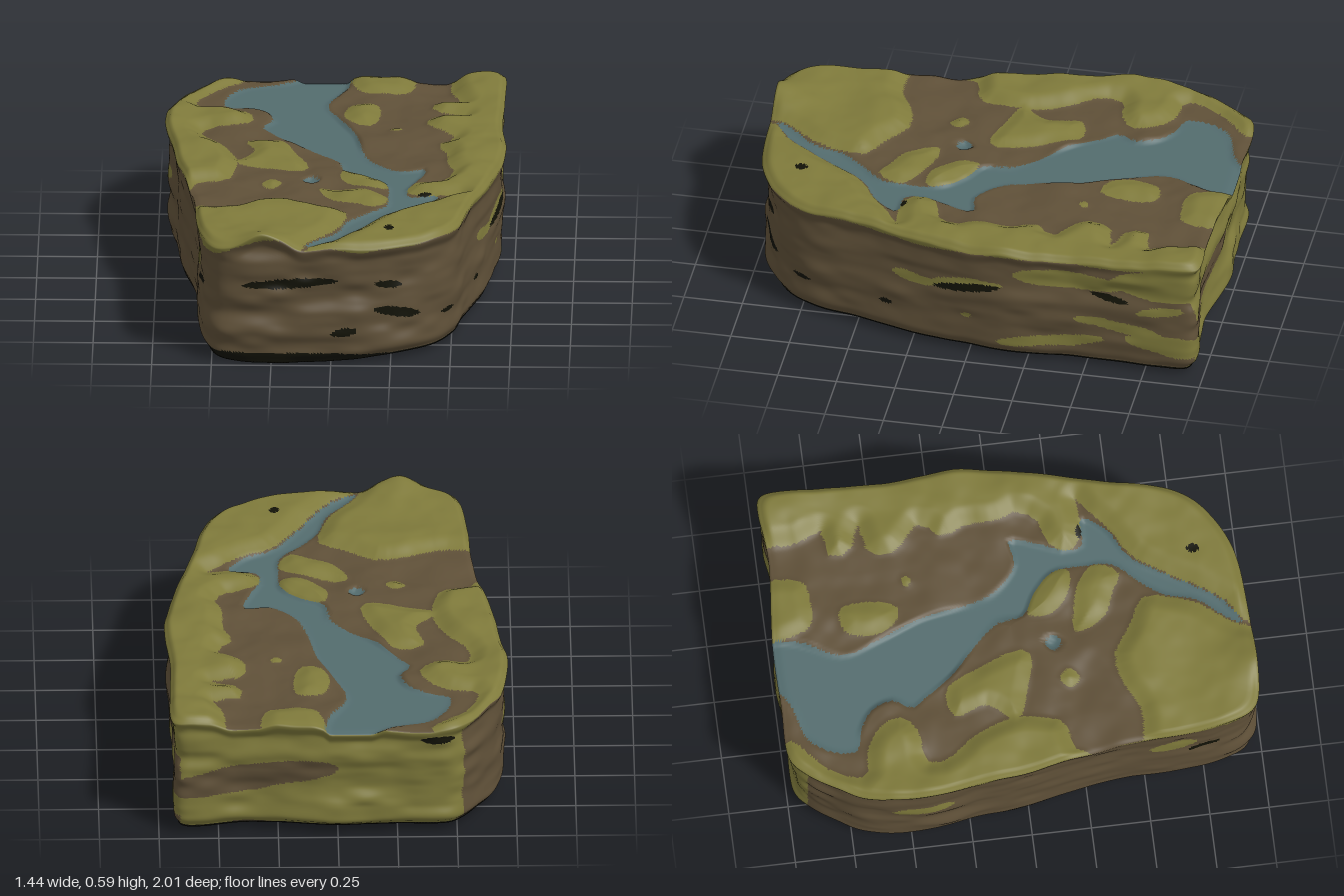
import * as THREE from 'three';

const AROUND = 470, TOP_ROWS = 80, SIDE_ROWS = 62;
const smooth = THREE.MathUtils.smoothstep;

// Closed smooth outline from x, z pairs in hundredths
function outline(pairs, count = pairs.length * 2) {
  const pts = [];
  for (let i = 0; i < pairs.length; i += 2) pts.push(new THREE.Vector3(pairs[i] / 100, 0, pairs[i + 1] / 100));
  return new THREE.CatmullRomCurve3(pts, true, 'centripetal').getSpacedPoints(count).slice(0, count);
}
const disc = (x, z, rx, rz = rx) => outline([x - rx, z, x, z + rz, x + rx, z, x, z - rz], 16);

// Signed distance to an outline, positive inside
function depth(poly, x, z) {
  let best = 1e9, inside = false;
  for (let i = 0, j = poly.length - 1; i < poly.length; j = i++) {
    const a = poly[j], b = poly[i], ex = b.x - a.x, ez = b.z - a.z;
    const t = Math.min(1, Math.max(0, ((x - a.x) * ex + (z - a.z) * ez) / (ex * ex + ez * ez || 1)));
    best = Math.min(best, (x - a.x - ex * t) ** 2 + (z - a.z - ez * t) ** 2);
    if ((a.z > z) !== (b.z > z) && x < a.x + (ex * (z - a.z)) / ez) inside = !inside;
  }
  return Math.sqrt(best) * (inside ? 1 : -1);
}
const deepest = (polys, x, z) => Math.max(...polys.map((p) => depth(p, x, z)));

// Smooth repeatable 3D value noise, 0 to 1
function hash(x, y, z) {
  const s = Math.sin(x * 127.1 + y * 311.7 + z * 74.7) * 43758.5453;
  return s - Math.floor(s);
}
function noise(x, y, z) {
  const X = Math.floor(x), Y = Math.floor(y), Z = Math.floor(z);
  const f = [x - X, y - Y, z - Z].map((t) => t * t * (3 - 2 * t));
  let sum = 0;
  for (let i = 0; i < 8; i++) {
    const a = i & 1, b = (i >> 1) & 1, c = i >> 2;
    sum += hash(X + a, Y + b, Z + c) * (a ? f[0] : 1 - f[0]) * (b ? f[1] : 1 - f[1]) * (c ? f[2] : 1 - f[2]);
  }
  return sum;
}

// Plan shape of the slab, counter-clockwise from above
const rim = outline([-48, -99, -55, -93, -63, -81, -69, -69, -72, -45, -69, -24, -66, 0, -61, 24, -58, 45, -57, 66,
  -54, 87, -50, 96, -44, 99.5, -2, 99.7, 24, 96.5, 43, 86, 52, 74, 59, 45, 66, 19, 71.5, -13, 69.5, -45, 70, -71,
  69.5, -96, 67, -98.5, 61, -99, 43, -97, 4, -100, -23, -99.7], AROUND);

// Water: the winding river and a small pond
const river = outline([-23, -96, -12, -103, 4, -103, 4, -90, -4, -71, 1, -55, 8, -37, 12, -16, 16, -5, 27, 5, 38, 4,
  35, 16, 31, 26, 32, 34, 44, 35, 38, 45, 25, 53, 16, 66, 8, 79, 0, 90, -11, 97, -7, 90, 2, 79, 6, 66, 14, 55,
  22, 46, 23, 34, 22, 21, 14, 12, 4, 6, 2, -5, -7, -16, -18, -26, -27, -39, -31, -45, -27, -53, -30, -62, -39, -68,
  -47, -70, -47, -79, -40, -90]);
const water = [river, disc(-9.5, 17, 3.5)];

// Grass: raised banks and lower mounds
const leftBank = outline([-80, -104, -45, -104, -39, -98, -47, -90, -55, -82, -59, -68, -47, -66, -37, -58, -35, -50,
  -42, -44, -55, -42, -56, -34, -47, -21, -41, -5, -42, 8, -45, 17, -58, 21, -61, 29, -80, 30]);
const frontBank = outline([-80, 46, -58, 49, -44, 50, -29, 43, -18, 42, -7, 49, 6, 57, 5, 66, 0.5, 79, -8, 90, -12, 97,
  -13, 108, -80, 108]);
const rightBank = outline([-11, 108, -10, 98, 0, 91, 8, 80, 16, 67, 25, 54, 38, 46, 46, 39, 53, 34, 42, 35, 34, 33,
  30, 28, 35, 20, 45, 17, 50, 9, 47, 0, 47, -13, 43, -24, 50, -32, 38, -45, 40, -55, 53, -58, 41, -63, 40, -71,
  52, -74, 48, -82, 47, -95, 46, -106, 90, -106, 90, 108]);
const banks = [leftBank, frontBank, rightBank];
const mounds = [
  outline([5, -104, 30, -104, 30, -84, 22, -82, 10, -83, 6, -92]),
  outline([6, -69, 16, -70, 18, -58, 14, -46, 7, -48, 3, -57]),
  outline([-37, -28, -25, -30, -18, -18, -11, 3, -14, 7, -28, 4, -42, -2, -34, -14]),
  outline([4, 8, 14, 12, 22, 21, 22, 27, 12, 26, 3, 17]),
  outline([-6, 27, 3, 27, 16, 31, 23, 38, 18, 48, 9, 44, 0, 40]),
  disc(-26, 22, 4.2), disc(25, -41, 2.6, 2)];
const hollows = [disc(24, 80, 2, 3), disc(38, 33.5, 3, 1.3)];

// Patches on the cliffs: distance along the face, height, half length, half height, slope
const cliffGrass = {
  front: [],
  right: [[-0.45, 0.425, 0.26, 0.045, 0], [-0.88, 0.445, 0.28, 0.08, 0], [0.24, 0.32, 0.1, 0.024, 0],
    [0.02, 0.345, 0.17, 0.025, -0.13], [-0.35, 0.115, 0.23, 0.03, -0.12], [-0.64, 0.215, 0.19, 0.028, 0.13],
    [-0.87, 0.15, 0.2, 0.045, 0.05], [-0.82, 0.315, 0.1, 0.025, -0.1], [0.01, 0.195, 0.02, 0.014, 0]],
  left: [[-0.45, 0.33, 0.13, 0.03, 0.1], [0.62, 0.36, 0.1, 0.035, 0.1]],
};
const backRock = [[0.38, 0.27, 0.38, 0.065, -0.15]];
const cliffHollows = {
  front: [[-0.17, 0.365, 0.2, 0.021, 0.04], [0.24, 0.347, 0.055, 0.016, -0.15], [0.275, 0.222, 0.095, 0.022, -0.22],
    [0.055, 0.147, 0.055, 0.018, 0.1]],
  right: [[0.01, 0.335, 0.145, 0.018, -0.17], [-0.6, 0.357, 0.08, 0.015, 0.17], [0.75, 0.17, 0.04, 0.01, 0],
    [0.37, 0.168, 0.03, 0.012, 0]],
  left: [[0.75, 0.3, 0.07, 0.016, 0.1]],
  back: [[-0.42, 0.46, 0.07, 0.018, 0]],
};
const hit = (list, h, y) => list.some(([a, b, ra, rb, k]) =>
  ((h - a) / ra) ** 2 + ((y - b - k * (h - a)) / rb) ** 2 < 1);

const frontSag = (x, z) => Math.exp(-(((x + 0.25) / 0.4) ** 4) - ((z - 0.95) / 0.5) ** 2);
const baseY = (x, z) => 0.031 - 0.027 * frontSag(x, z);

// Height of the land; r is 0 in the middle and 1 at the rim
function landY(x, z, r) {
  const high = smooth(deepest(banks, x, z), -0.02, 0.08), low = smooth(deepest(mounds, x, z), -0.02, 0.07);
  const w = smooth(deepest(water, x, z), -0.015, 0.02);
  const lump = (noise(x * 7 + 9, 3, z * 7) - 0.5) * 0.024 + (noise(x * 16, 8, z * 16) - 0.5) * 0.006;
  const bump = Math.exp(-(((x + 0.28) / 0.11) ** 2) - ((z - 1) / 0.15) ** 2);
  const corner = 0.018 * smooth(x, 0.45, 0.65) * smooth(-z, 0.6, 0.9);
  const dip = smooth(r, 0.95, 1) ** 2 * (1 - bump) * (0.006 + 0.02 * high);
  const mouth = 0.012 * smooth(z, 0.6, 0.95);
  return 0.517 + 0.036 * high + 0.022 * low - 0.012 * w + lump * (1 - w) + 0.035 * bump + corner - dip
    + mouth * (1 - high);
}

function topColour(x, z) {
  if (deepest(hollows, x, z) > 0) return 'hollows';
  if (deepest(water, x, z) > 0) return 'river';
  return deepest(banks, x, z) > 0 || deepest(mounds, x, z) > 0 ? 'grass' : 'rock';
}

function cliffColour(x, y, z) {
  const face = z < -0.92 && Math.abs(x) < 0.66 ? 'back' : z > 0.84 && x < 0.46 ? 'front' : x > 0 ? 'right' : 'left';
  const h = face === 'front' || face === 'back' ? x : z;
  if (y < baseY(x, z) + 0.006 + 0.042 * frontSag(x, z)) return 'hollows';
  if (hit(cliffHollows[face], h, y)) return 'hollows';
  const wobble = y + (noise(x * 9, y * 14, z * 9) - 0.5) * 0.025;
  if (face === 'back') return hit(backRock, h, wobble) ? 'rock' : 'grass';
  const crest = face === 'front' ? 0.05 * Math.exp(-(((x + 0.22) / 0.16) ** 2)) - 0.03 * smooth(-x, 0.38, 0.5) : 0;
  const edge = 0.507 + 0.02 * noise(x * 5, 1, z * 5) + crest;
  return wobble > edge || hit(cliffGrass[face], h, wobble) ? 'grass' : 'rock';
}

export function createModel() {
  const materials = {};
  const colours = { grass: 0x7f7a3b, rock: 0x5f5038, river: 0x536c6e, hollows: 0x121207 };
  for (const [name, color] of Object.entries(colours)) {
    materials[name] = new THREE.MeshStandardMaterial({ color });
    materials[name].name = name + 'Colour';
  }

  // Rings running from the middle of the land, over the rim, down the cliffs and under the base
  const pos = [], rows = TOP_ROWS + SIDE_ROWS + 1;
  const rimY = rim.map((p) => landY(p.x, p.z, 1));
  for (let i = 0; i <= rows; i++) {
    for (let j = 0; j < AROUND; j++) {
      const p = rim[j];
      if (i <= TOP_ROWS) {
        const r = (i / TOP_ROWS) ** 0.8;
        pos.push(p.x * r, landY(p.x * r, p.z * r, r), p.z * r);
      } else if (i < rows) {
        const s = (i - TOP_ROWS) / SIDE_ROWS;
        const y = THREE.MathUtils.lerp(rimY[j], baseY(p.x, p.z), s);
        const strata = noise(p.x * 3, y * 13, p.z * 3) * 0.03 + noise(p.x * 9, y * 22, p.z * 9) * 0.015;
        const k = 1 - strata * smooth(s, 0, 0.12) - 0.03 * smooth(s, 0.88, 1) ** 2;
        pos.push(p.x * k, y, p.z * k);
      } else pos.push(0, 0.03, 0);
    }
  }

  // Sort the faces by what covers them
  const faces = { grass: [], rock: [], river: [], hollows: [] };
  const addFace = (i, ...v) => {
    const [x, y, z] = [0, 1, 2].map((n) => (pos[v[0] * 3 + n] + pos[v[1] * 3 + n] + pos[v[2] * 3 + n]) / 3);
    const name = i < TOP_ROWS ? topColour(x, z) : i < rows - 1 ? cliffColour(x, y, z) : 'hollows';
    faces[name].push(...v);
  };
  for (let i = 0; i < rows; i++) {
    for (let j = 0; j < AROUND; j++) {
      const k = (j + 1) % AROUND, a = i * AROUND + j, b = a + AROUND, c = (i + 1) * AROUND + k, d = i * AROUND + k;
      if (i < rows - 1) addFace(i, a, b, c);
      if (i > 0) addFace(i, a, c, d);
    }
  }

  // Shared smooth normals keep the coverings seamless
  const shell = new THREE.BufferGeometry();
  shell.setAttribute('position', new THREE.Float32BufferAttribute(pos, 3));
  shell.setIndex(Object.values(faces).flat());
  shell.computeVertexNormals();

  const group = new THREE.Group();
  group.name = 'riverLandBlock';
  for (const name of Object.keys(faces)) {
    const part = new THREE.BufferGeometry();
    part.setAttribute('position', shell.attributes.position);
    part.setAttribute('normal', shell.attributes.normal);
    part.setIndex(faces[name]);
    const mesh = new THREE.Mesh(part, materials[name]);
    mesh.name = name === 'hollows' ? 'baseAndHollows' : name;
    group.add(mesh);
  }
  return group;
}
